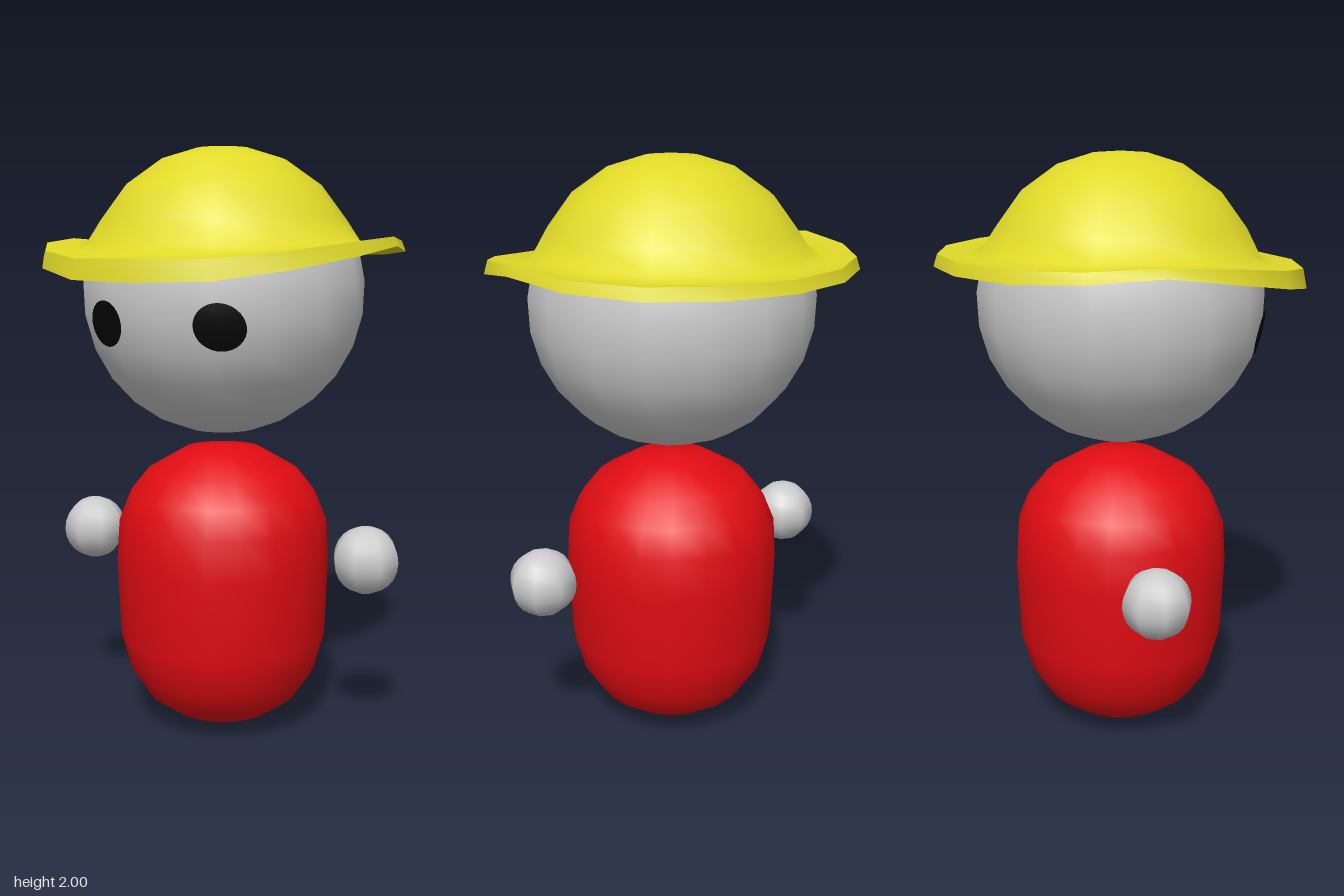
import * as THREE from 'three';
import { toCreasedNormals } from 'three/addons/utils/BufferGeometryUtils.js';

const HEAD_Y = 1.52, HEAD_R = 0.48, SIDES = 16;

function part(name, geometry, color, parent) {
  const mesh = new THREE.Mesh(geometry, new THREE.MeshStandardMaterial({ color }));
  mesh.name = name;
  parent.add(mesh);
  return mesh;
}

// Hat: rings from crown to rim and back under; the brim dips at the front.
function hatGeometry() {
  // rim height offset and rim thickness, from front (0) round to back (8)
  const dip = [-0.05, -0.05, -0.028, 0, 0.017, 0.005, 0, 0, 0];
  const thick = [0.07, 0.065, 0.055, 0.045, 0.03, 0.035, 0.04, 0.04, 0.04];
  // [radius, height, share of dip, share of thickness]
  const rings = [
    [0, 2.0, 0, 0], [0.09, 1.994, 0, 0], [0.21, 1.957, 0, 0], [0.33, 1.873, 0, 0],
    [0.415, 1.76, 0, 0], [0.46, 1.69, 0.35, 0], [0.5, 1.675, 0.6, 0],
    [0.6, 1.685, 1, 0], [0.613, 1.685, 1, 1], [0.52, 1.668, 0.8, 0.6], [0.44, 1.665, 0.5, 0],
  ];
  const position = [], index = [];
  for (const [r, y, d, t] of rings) {
    for (let j = 0; j < SIDES; j++) {
      const a = (j / SIDES) * Math.PI * 2;
      const k = Math.min(j, SIDES - j);
      position.push(r * Math.sin(a), y + d * dip[k] - t * thick[k], r * Math.cos(a));
    }
  }
  for (let i = 0; i < rings.length - 1; i++) {
    for (let j = 0; j < SIDES; j++) {
      const n = (j + 1) % SIDES;
      const a = i * SIDES + j, b = a + SIDES, c = (i + 1) * SIDES + n, e = i * SIDES + n;
      index.push(a, b, c);
      if (i > 0) index.push(a, c, e);
    }
  }
  const g = new THREE.BufferGeometry();
  g.setAttribute('position', new THREE.Float32BufferAttribute(position, 3));
  g.setIndex(index);
  return toCreasedNormals(g, 1.1);
}

// Round eye patch laid onto the head's curve
function eyeGeometry(x, y) {
  const g = new THREE.RingGeometry(0.0005, 0.074, 32, 4);
  const p = g.attributes.position;
  for (let i = 0; i < p.count; i++) {
    const px = p.getX(i) + x, py = p.getY(i) + y;
    const r = HEAD_R + 0.004;
    p.setXYZ(i, px, py, Math.sqrt(r * r - px * px - (py - HEAD_Y) ** 2));
  }
  g.computeVertexNormals();
  return g;
}

export function createModel() {
  const model = new THREE.Group();
  model.name = 'figure';

  // Capsule-like body
  const profile = [
    [0, 0], [0.085, 0.01], [0.18, 0.05], [0.265, 0.11], [0.325, 0.2], [0.36, 0.33],
    [0.371, 0.6], [0.362, 0.74], [0.325, 0.83], [0.26, 0.91], [0.13, 0.985], [0, 1.0],
  ].map(([x, y]) => new THREE.Vector2(x, y));
  part('body', new THREE.LatheGeometry(profile, 20), 0xe00c12, model);

  // Head, open where the hat covers it
  const head = new THREE.Group();
  head.name = 'headGroup';
  model.add(head);
  const skull = new THREE.SphereGeometry(HEAD_R, SIDES, 8, Math.PI / 2, Math.PI * 2, Math.PI * 0.4, Math.PI * 0.6);
  part('head', skull, 0xcccccc, head).position.y = HEAD_Y;
  part('hat', hatGeometry(), 0xe0da28, head);

  // Paired eyes and floating hands
  for (const [side, s] of [['left', 1], ['right', -1]]) {
    part(side + 'Eye', eyeGeometry(0.2 * s, 1.43), 0x050505, head);
    part(side + 'Hand', new THREE.SphereGeometry(0.113, 8, 12), 0xcccccc, model).position.set(0.53 * s, 0.645, 0);
  }
  return model;
}
